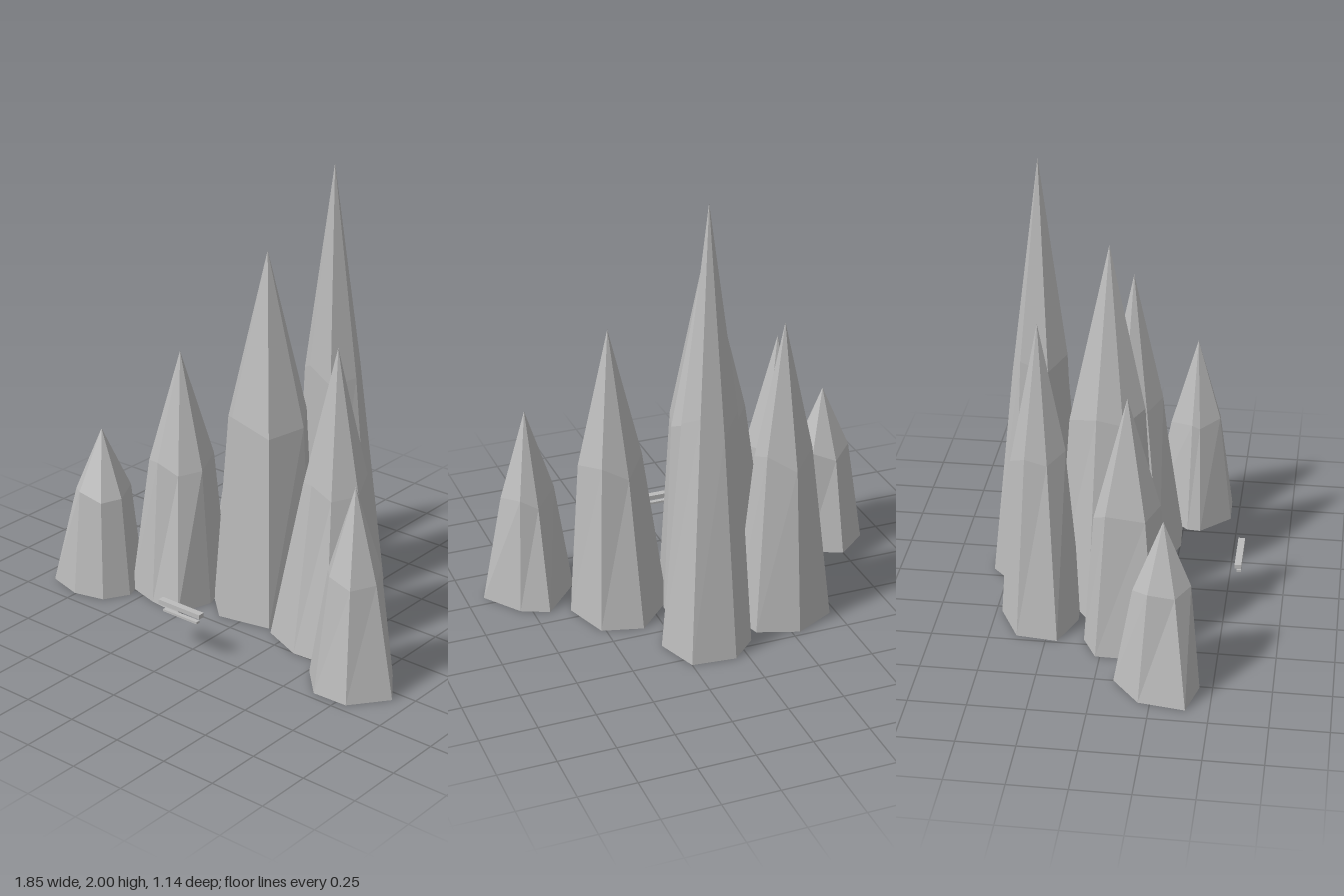
import * as THREE from 'three';

const stone = new THREE.MeshStandardMaterial({ color: 0xbcbcbc, flatShading: true, side: THREE.DoubleSide });
stone.name = 'pale grey stone';

// Tip position, shoulder height and radius, and the irregular base outline (x, z), clockwise from above
const SPIRES = [
  { name: 'centreSpire', tip: [-0.015, 1.67, -0.03], shoulder: [0.9, 0.175],
    base: [[-0.235, 0.08], [-0.31, -0.09], [-0.07, -0.26], [0.12, -0.21], [0.2, -0.075], [0.14, 0.15], [-0.105, 0.2]] },
  { name: 'tallBackSpire', tip: [0.095, 2.0, -0.345], shoulder: [1.06, 0.125],
    base: [[-0.06, -0.28], [-0.06, -0.46], [0.055, -0.57], [0.25, -0.55], [0.317, -0.36], [0.21, -0.175], [0.055, -0.18]] },
  { name: 'backRightSpire', tip: [-0.265, 1.41, -0.3], shoulder: [0.8, 0.125],
    base: [[-0.49, -0.2], [-0.47, -0.38], [-0.285, -0.475], [-0.105, -0.41], [-0.06, -0.26], [-0.145, -0.14], [-0.315, -0.13]] },
  { name: 'leftSpire', tip: [0.405, 1.35, 0.025], shoulder: [0.73, 0.14],
    base: [[0.168, 0.175], [0.165, -0.02], [0.34, -0.2], [0.52, -0.15], [0.59, 0.06], [0.525, 0.245], [0.36, 0.255]] },
  { name: 'rightSpire', tip: [-0.405, 1.16, 0.095], shoulder: [0.64, 0.145],
    base: [[-0.59, 0.24], [-0.585, -0.02], [-0.465, -0.085], [-0.27, -0.06], [-0.215, 0.13], [-0.262, 0.3], [-0.425, 0.285]] },
  { name: 'leftOuterSpire', tip: [0.703, 0.9, 0.29], shoulder: [0.5, 0.12],
    base: [[0.505, 0.33], [0.51, 0.27], [0.68, 0.08], [0.8, 0.135], [0.92, 0.305], [0.797, 0.46], [0.634, 0.465]] },
  { name: 'rightOuterSpire', tip: [-0.715, 0.77, 0.28], shoulder: [0.47, 0.125],
    base: [[-0.925, 0.4], [-0.895, 0.2], [-0.75, 0.08], [-0.6, 0.15], [-0.55, 0.3], [-0.614, 0.41], [-0.757, 0.445]] },
];

// Irregular crystal, open underneath: base outline, rounder shoulder ring, pointed tip
function makeSpire({ name, tip, shoulder: [height, radius], base }) {
  const n = base.length;
  const pos = [], index = [];
  for (const [x, z] of base) pos.push(x, 0, z);
  base.forEach(([x, z], i) => {
    const a = Math.atan2(z - tip[2], x - tip[0]);
    const y = height * (1 + 0.05 * Math.sin(i * 2.4));
    pos.push(tip[0] + radius * Math.cos(a), y, tip[2] + radius * Math.sin(a));
  });
  pos.push(...tip);
  for (let i = 0; i < n; i++) {
    const j = (i + 1) % n;
    index.push(j, i, n + i, j, n + i, n + j);
    index.push(n + j, n + i, 2 * n);
  }
  const geometry = new THREE.BufferGeometry();
  geometry.setAttribute('position', new THREE.Float32BufferAttribute(pos, 3));
  geometry.setIndex(index);
  const flat = geometry.toNonIndexed();
  flat.computeVertexNormals();
  const mesh = new THREE.Mesh(flat, stone);
  mesh.name = name;
  return mesh;
}

function makeBar(name, size, position) {
  const mesh = new THREE.Mesh(new THREE.BoxGeometry(...size), stone);
  mesh.name = name;
  mesh.position.set(...position);
  return mesh;
}

export function createModel() {
  const group = new THREE.Group();
  group.name = 'spireCluster';
  for (const spire of SPIRES) group.add(makeSpire(spire));
  // Two thin bars floating in front of the cluster
  group.add(makeBar('upperBar', [0.23, 0.02, 0.03], [-0.018, 0.215, 0.552]));
  group.add(makeBar('lowerBar', [0.19, 0.01, 0.02], [-0.015, 0.18, 0.555]));
  return group;
}
